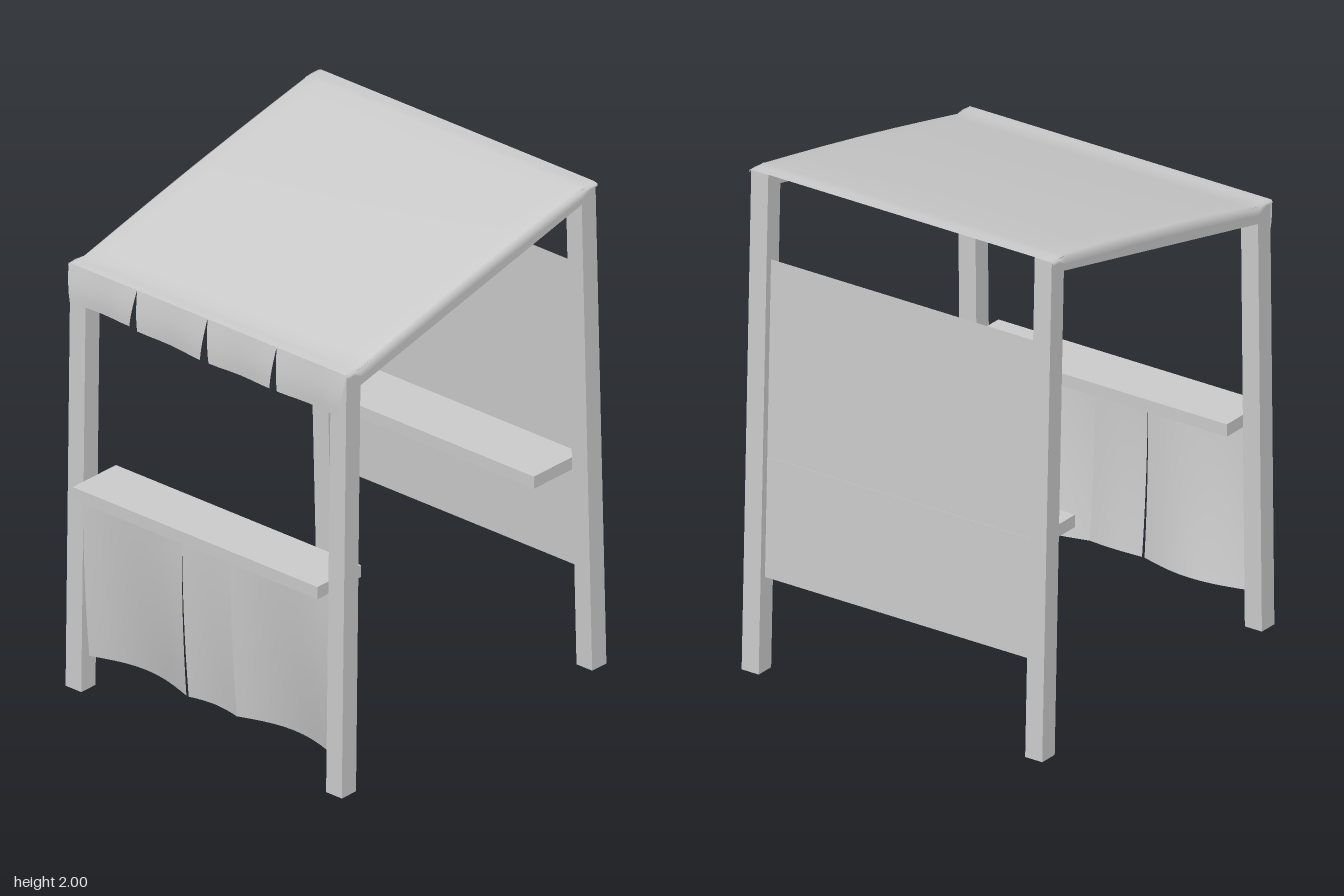
import * as THREE from 'three';

const grey = new THREE.MeshStandardMaterial({ color: 0xcccccc, side: THREE.DoubleSide });
grey.name = 'plain grey';

const lerp = THREE.MathUtils.lerp;

// Bar along x whose side outline is four [z, y] corners: back-low, front-low, front-high, back-high
function bar(name, x0, x1, [bl, fl, fh, bh], openBottom = false) {
  let g = new THREE.BoxGeometry(1, 1, 1);
  const p = g.attributes.position;
  for (let i = 0; i < p.count; i++) {
    const front = p.getZ(i) > 0, high = p.getY(i) > 0;
    const [z, y] = high ? (front ? fh : bh) : (front ? fl : bl);
    p.setXYZ(i, p.getX(i) > 0 ? x1 : x0, y, z);
  }
  if (openBottom) {
    const idx = Array.from(g.index.array);
    idx.splice(18, 6);
    g.setIndex(idx);
    g.clearGroups();
  }
  g.computeVertexNormals();
  const m = new THREE.Mesh(g, grey);
  m.name = name;
  return m;
}

// Smooth sheet of cloth from a rule (u, v) -> [x, y, z]
function sheet(name, nu, nv, rule) {
  const pos = [], idx = [];
  for (let j = 0; j <= nv; j++)
    for (let i = 0; i <= nu; i++) pos.push(...rule(i / nu, j / nv));
  for (let j = 0; j < nv; j++)
    for (let i = 0; i < nu; i++) {
      const a = j * (nu + 1) + i, b = a + 1, c = a + nu + 1, d = c + 1;
      idx.push(a, c, b, b, c, d);
    }
  const g = new THREE.BufferGeometry();
  g.setAttribute('position', new THREE.Float32BufferAttribute(pos, 3));
  g.setIndex(idx);
  g.computeVertexNormals();
  const m = new THREE.Mesh(g, grey);
  m.name = name;
  return m;
}

export function createModel() {
  const stall = new THREE.Group();
  stall.name = 'marketStall';

  // Leaning legs and sloping roof rails on both sides
  for (const [side, x0, x1] of [['left', 0.6, 0.677], ['right', -0.677, -0.6]]) {
    stall.add(bar(side + 'FrontLeg', x0, x1, [[0.625, 0], [0.703, 0], [0.677, 1.727], [0.6, 1.727]], true));
    stall.add(bar(side + 'BackLeg', x0, x1, [[-0.747, 0], [-0.669, 0], [-0.61, 1.997], [-0.687, 1.997]], true));
    stall.add(bar(side + 'RoofRail', x0, x1, [[-0.61, 1.935], [0.6, 1.658], [0.6, 1.727], [-0.61, 1.992]]));
  }

  // Counter and back shelf
  stall.add(bar('counter', -0.6, 0.6, [[0.513, 0.81], [0.75, 0.81], [0.75, 0.86], [0.513, 0.86]]));
  stall.add(bar('backShelf', -0.6, 0.6, [[-0.697, 0.81], [-0.435, 0.81], [-0.435, 0.86], [-0.695, 0.86]]));

  // Leaning back panel
  stall.add(sheet('backPanel', 1, 1, (u, v) =>
    [lerp(-0.6, 0.6, u), lerp(1.65, 0.38, v), lerp(-0.67, -0.708, v)]));

  // Roof cloth, slightly puffed, with its sides folded over the rails
  const roofY = z => (z < -0.61 ? 2 : z > 0.6 ? 1.732 - Math.max(0, z - 0.66) * 0.2
    : lerp(2, 1.732, (z + 0.61) / 1.21));
  const across = [[-0.685, -0.035], [-0.684, -0.012], [-0.668, 0], [-0.6, 0], [-0.4, 0], [-0.2, 0], [0, 0],
    [0.2, 0], [0.4, 0], [0.6, 0], [0.668, 0], [0.684, -0.012], [0.685, -0.035]];
  const along = [-0.69, -0.65, -0.61, -0.45, -0.25, 0, 0.2, 0.4, 0.54, 0.6, 0.64, 0.68];
  stall.add(sheet('roofCloth', across.length - 1, along.length - 1, (u, v) => {
    const [x, drop] = across[Math.round(u * (across.length - 1))];
    const z = along[Math.round(v * (along.length - 1))];
    const t = THREE.MathUtils.clamp((z + 0.61) / 1.21, 0, 1);
    const puff = 0.012 * Math.sin(Math.PI * t) * (1 - 0.3 * (x / 0.685) ** 2);
    const fold = z > -0.62 && z < 0.62 ? 1 : 0.4;
    return [x, roofY(z) + puff + drop * fold, z];
  }));

  // Front valance: four flaps parted by narrow notches
  const flaps = [
    [-0.683, -0.347, -0.66, -0.368, 1.58, 1.58],
    [-0.347, -0.002, -0.33, -0.022, 1.572, 1.56],
    [-0.002, 0.337, 0.02, 0.318, 1.56, 1.56],
    [0.337, 0.683, 0.355, 0.655, 1.56, 1.56]];
  const valance = new THREE.Group();
  valance.name = 'valance';
  for (const [a0, a1, b0, b1, yl, yr] of flaps)
    valance.add(sheet('valanceFlap', 6, 5, (u, v) => {
      const x = lerp(lerp(a0, a1, u), lerp(b0, b1, u), v);
      return [x, lerp(1.728, lerp(yl, yr, u), v),
        0.68 + 0.016 * Math.sin(v * Math.PI * 0.6) + 0.004 * v * Math.cos(u * Math.PI * 2)];
    }));
  stall.add(valance);

  // Curtains below the counter, hollowed towards the hem
  const curtains = [
    [-0.603, -0.114, -0.603, -0.123, 0.05],
    [-0.114, 0.122, -0.112, 0.124, 0.012],
    [0.122, 0.603, 0.124, 0.603, 0.05]];
  const drapes = new THREE.Group();
  drapes.name = 'curtains';
  for (const [a0, a1, b0, b1, hollow] of curtains)
    drapes.add(sheet('curtain', 10, 8, (u, v) => [
      lerp(lerp(a0, a1, u), lerp(b0, b1, u), v),
      lerp(0.815, 0.132, v) + 0.004 * v * Math.sin(u * Math.PI),
      0.694 - 0.034 * v * v - hollow * v * Math.sin(u * Math.PI)]));
  stall.add(drapes);

  return stall;
}
